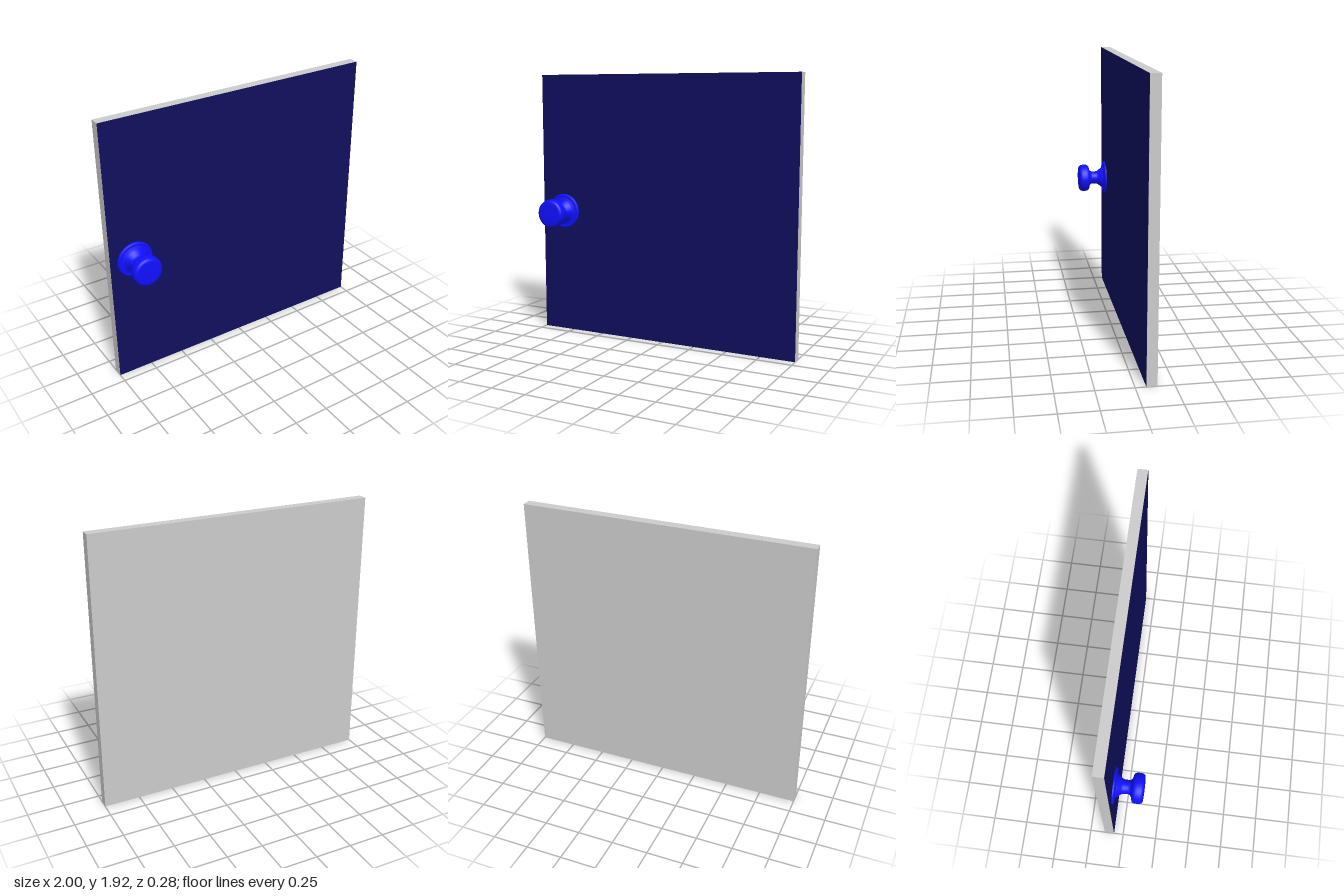
import * as THREE from 'three';

export function createModel() {
  const group = new THREE.Group();
  const grey = new THREE.MeshStandardMaterial({ color: 0xcccccc });
  const navy = new THREE.MeshStandardMaterial({ color: 0x0f0f5f });
  const blue = new THREE.MeshStandardMaterial({ color: 0x1010ff });

  const add = (name, geometry, material, x, y, z) => {
    const mesh = new THREE.Mesh(geometry, material);
    mesh.name = name;
    mesh.position.set(x, y, z);
    group.add(mesh);
    return mesh;
  };

  // Door slab, with a coloured face on the front
  const W = 2, H = 1.92, back = -0.14, front = -0.07;
  const depth = front - 0.001 - back;
  add('doorPanel', new THREE.BoxGeometry(W, H, depth), grey, 0, H / 2, back + depth / 2);
  add('doorFrontFace', new THREE.PlaneGeometry(W, H), navy, 0, H / 2, front);

  // Knob profile: [radius, distance from the door]
  const profile = (points) => points.map(([r, d]) => new THREE.Vector2(r, d));

  // Stepped round base plate
  const plate = profile([
    [0.127, 0], [0.127, 0.007], [0.122, 0.013], [0.113, 0.015],
    [0.108, 0.011], [0.102, 0.012], [0.088, 0.018], [0.08, 0.022],
  ]);

  // Flared neck running into the rounded head
  const neck = new THREE.SplineCurve(profile([
    [0.085, 0.012], [0.08, 0.024], [0.064, 0.044], [0.051, 0.062],
    [0.048, 0.085], [0.05, 0.11], [0.062, 0.122], [0.08, 0.127],
  ])).getPoints(24);
  const head = new THREE.SplineCurve(profile([
    [0.08, 0.127], [0.095, 0.133], [0.103, 0.148], [0.104, 0.168],
    [0.102, 0.188], [0.095, 0.2], [0.082, 0.206], [0.05, 0.208], [0, 0.209],
  ])).getPoints(28);

  const parts = { knobPlate: plate, knobNeck: neck, knobHead: head };
  for (const [name, points] of Object.entries(parts)) {
    add(name, new THREE.LatheGeometry(points, 48), blue, -0.82, 0.91, front)
      .rotation.x = Math.PI / 2;
  }
  return group;
}
